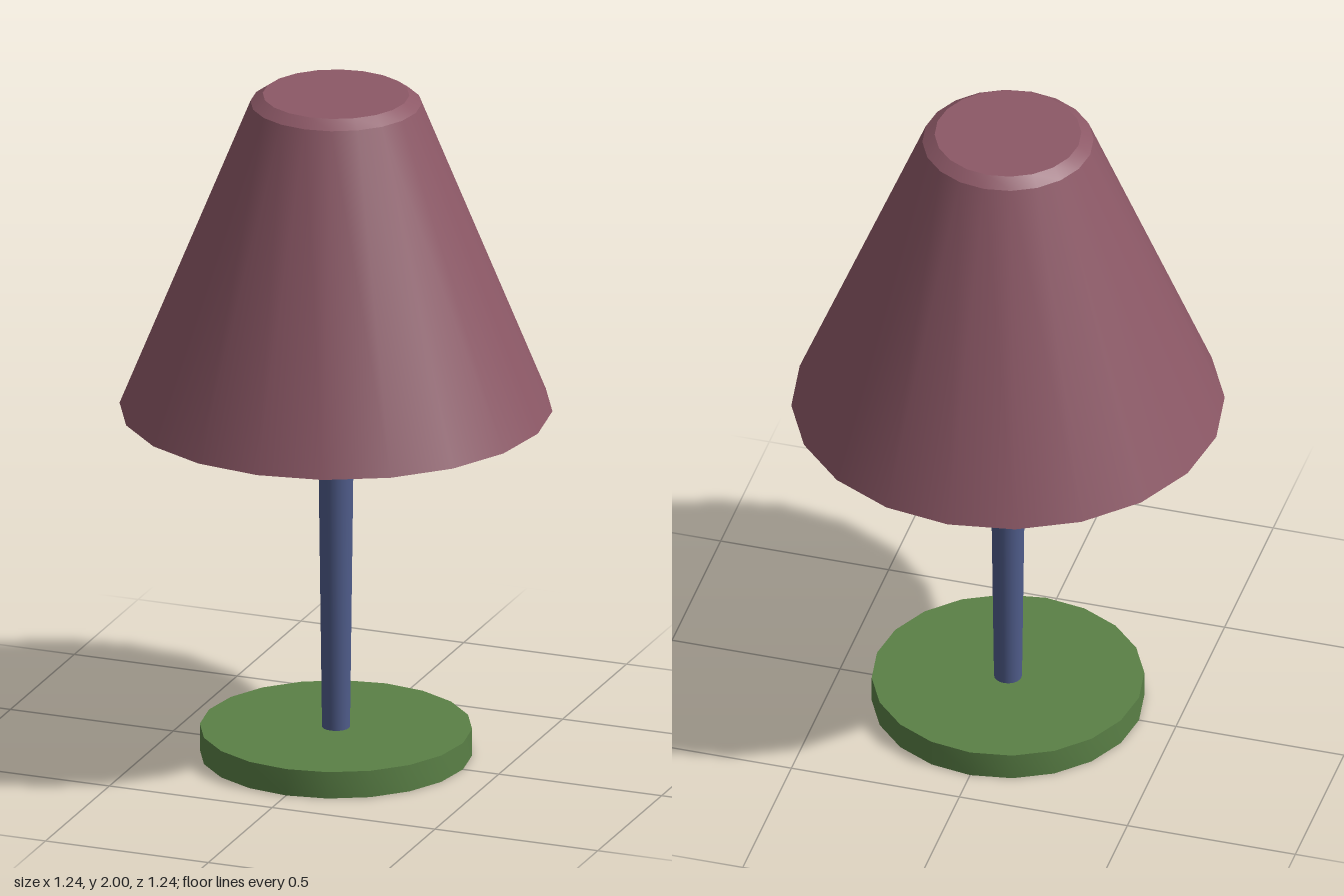
import * as THREE from 'three';
import { toCreasedNormals } from 'three/addons/utils/BufferGeometryUtils.js';

const SIDES = 20;

// Spins a profile (bottom to top on the outside) into a named, creased mesh.
function turned(name, color, profile) {
  const points = profile.map(([r, y]) => new THREE.Vector2(r, y));
  const geometry = toCreasedNormals(new THREE.LatheGeometry(points, SIDES), 0.5);
  const mesh = new THREE.Mesh(geometry, new THREE.MeshStandardMaterial({ color }));
  mesh.name = name;
  return mesh;
}

export function createModel() {
  const lamp = new THREE.Group();
  lamp.name = 'tableLamp';

  // flat round foot
  lamp.add(turned('base', 0x5a8046, [[0, 0], [0.39, 0], [0.39, 0.08], [0, 0.08]]));

  // slender stem, widening slightly upwards into the shade
  lamp.add(turned('stem', 0x4f5c8a, [[0, 0.07], [0.04, 0.07], [0.063, 1.92], [0, 1.92]]));

  // thick hollow shade: inside down to the rim, then outside up to the bevelled top
  lamp.add(turned('shade', 0x8c5866, [
    [0, 1.91], [0.18, 1.91], [0.535, 1.05], [0.62, 1.05],
    [0.245, 1.975], [0.21, 2], [0, 2],
  ]));

  return lamp;
}
